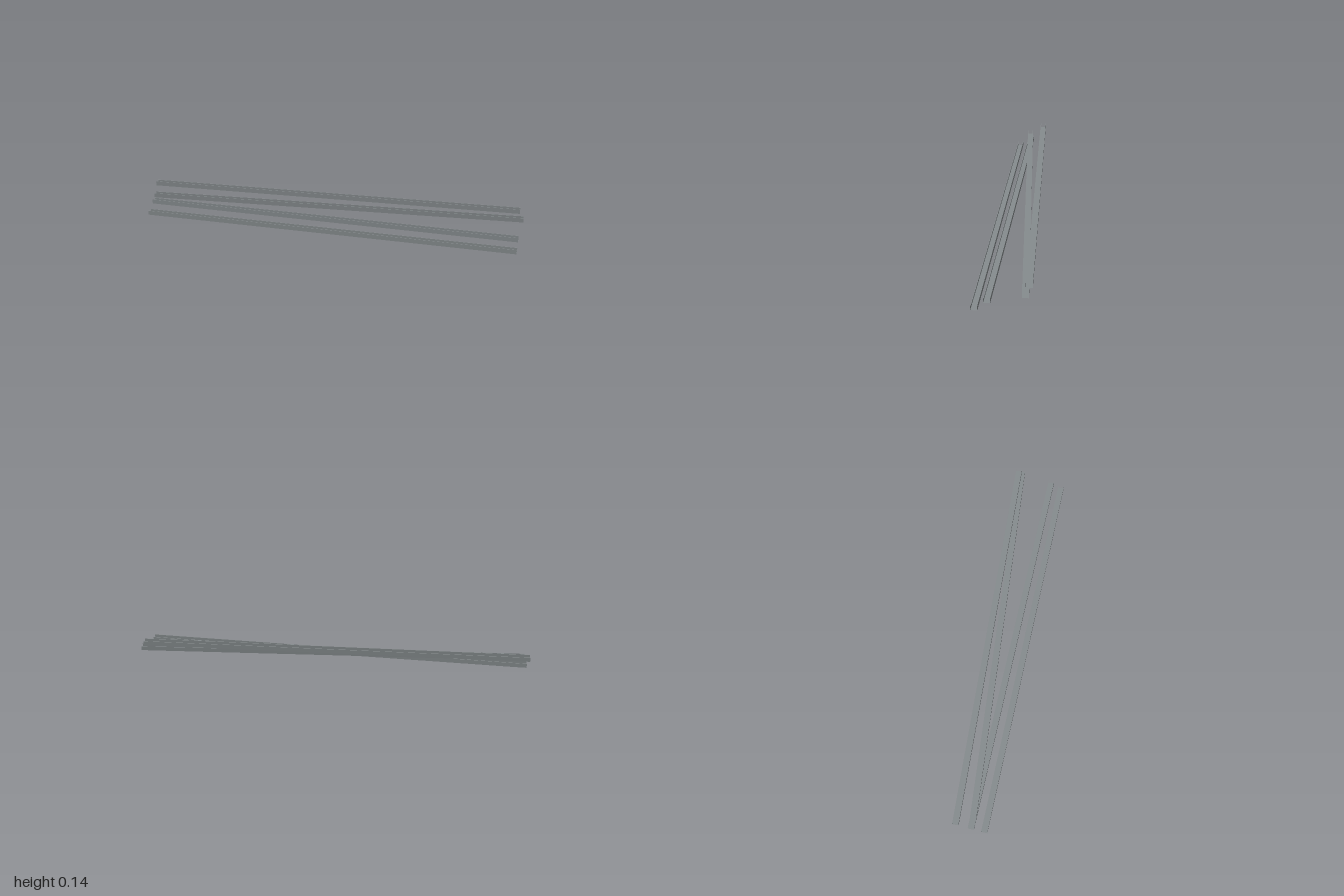
import * as THREE from 'three';

const HALF_WIDTH = 0.0155, HEIGHT = 0.0225, LIP = 0.003;

// Thin sheet channel along x: open ends, open top with narrow inward lips
function channelGeometry(length) {
  const profile = [ // [z, y]
    [HALF_WIDTH - LIP, HEIGHT], [HALF_WIDTH, HEIGHT], [HALF_WIDTH, 0],
    [-HALF_WIDTH, 0], [-HALF_WIDTH, HEIGHT], [-HALF_WIDTH + LIP, HEIGHT],
  ];
  const positions = [];
  const x = length / 2;
  for (let i = 0; i < profile.length - 1; i++) {
    const [z0, y0] = profile[i], [z1, y1] = profile[i + 1];
    const a = [-x, y0, z0], b = [-x, y1, z1], c = [x, y1, z1], d = [x, y0, z0];
    positions.push(...a, ...b, ...c, ...a, ...c, ...d);
  }
  const geometry = new THREE.BufferGeometry();
  geometry.setAttribute('position', new THREE.Float32BufferAttribute(positions, 3));
  geometry.computeVertexNormals();
  return geometry;
}

export function createModel() {
  const model = new THREE.Group();
  model.name = 'looseChannels';
  const steel = new THREE.MeshStandardMaterial({ color: 0x868c8e, side: THREE.DoubleSide });
  steel.name = 'galvanised grey';

  // Each channel: name, base height, left and right end centres (x, z)
  const channels = [
    ['bottomChannel', 0, -0.997, 0.0265, 0.98, 0.1205],
    ['lowerMiddleChannel', 0.0405, -0.997, -0.0395, 0.982, 0.0635],
    ['upperMiddleChannel', 0.0805, -0.983, -0.0335, 0.999, -0.1055],
    ['topChannel', 0.1205, -1, -0.1115, 0.979, -0.1205],
  ];
  for (const [name, y, x0, z0, x1, z1] of channels) {
    const mesh = new THREE.Mesh(channelGeometry(Math.hypot(x1 - x0, z1 - z0)), steel);
    mesh.name = name;
    mesh.position.set((x0 + x1) / 2, y, (z0 + z1) / 2);
    mesh.rotation.y = -Math.atan2(z1 - z0, x1 - x0);
    model.add(mesh);
  }
  return model;
}
